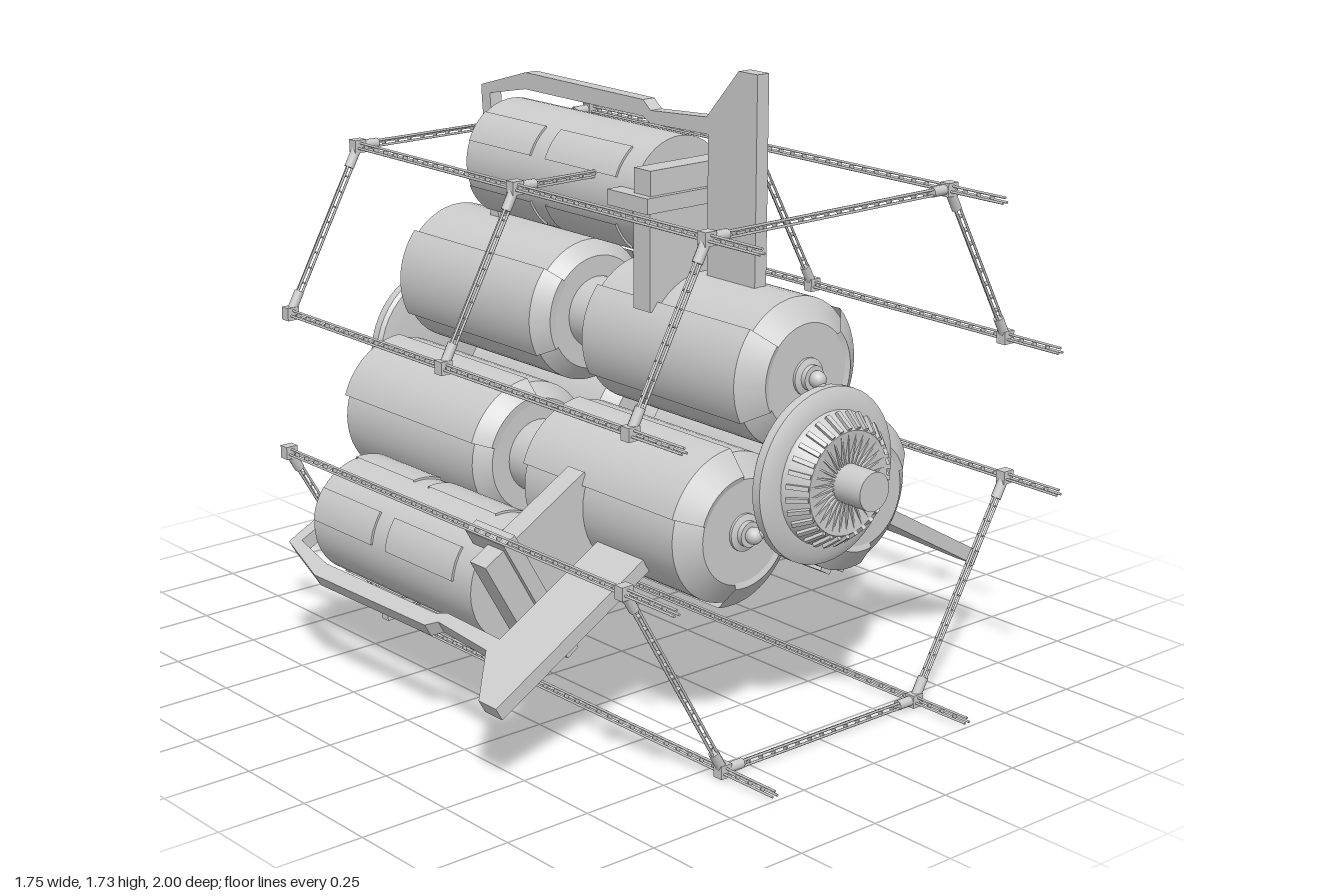
import * as THREE from 'three';
import { mergeGeometries, toCreasedNormals } from 'three/addons/utils/BufferGeometryUtils.js';

const AXIS_Y = 0.735;   // height of the long axis
const MID_Z = -0.027;   // middle of the tank cluster
const TANK_R = 0.247;   // tank offset from the axis
const POD_R = 0.63;     // pod offset from the axis
const mat = new THREE.MeshStandardMaterial({ color: 0xcccccc, side: THREE.DoubleSide });
const V = (x, y, z) => new THREE.Vector3(x, y, z);

function add(parent, name, geo, x = 0, y = 0, z = 0) {
  const m = new THREE.Mesh(geo, mat);
  m.name = name;
  m.position.set(x, y, z);
  parent.add(m);
  return m;
}

// Turned shape along z from [radius, z] pairs with z rising; angles are measured from straight up
function turned(pts, segs = 48, start = 0, length = Math.PI * 2) {
  const g = new THREE.LatheGeometry(pts.map(p => new THREE.Vector2(p[0], p[1])), segs, Math.PI + start, length);
  return toCreasedNormals(g.rotateX(Math.PI / 2), 0.45);
}

const box = (w, h, d) => new THREE.BoxGeometry(w, h, d);
const rod = (r, len, segs = 24) => new THREE.CylinderGeometry(r, r, len, segs).rotateX(Math.PI / 2);
const deg = THREE.MathUtils.degToRad;

// One end: three main tanks, feed pipes and the docking dome, facing +z
function buildEnd(portEnd) {
  const end = new THREE.Group();
  end.name = 'endSection';
  for (let i = 0; i < 3; i++) {
    const arm = new THREE.Group();
    arm.name = 'mainTankUnit';
    arm.rotation.z = i * Math.PI * 2 / 3;
    end.add(arm);
    add(arm, 'mainTank', turned([[0, 0.077], [0.16, 0.077], [0.2, 0.115], [0.2, 0.707], [0.14, 0.755], [0, 0.755]]), 0, TANK_R);
    // Raised side panels
    for (const s of [-1, 1]) {
      const panel = turned([[0.15, 0.075], [0.172, 0.073], [0.213, 0.113], [0.213, 0.71], [0.15, 0.76], [0.135, 0.755]],
        14, s > 0 ? deg(48) : deg(-118), deg(70));
      add(arm, 'tankPanel', panel, 0, TANK_R);
    }
    add(arm, 'tankNozzle', turned([[0.05, 0.75], [0.05, 0.762], [0.034, 0.768], [0.034, 0.782], [0, 0.782]], 20), 0, TANK_R);
    const path = new THREE.CatmullRomCurve3([V(0, TANK_R, 0.76), V(0, TANK_R, 0.79), V(0, 0.235, 0.803), V(0, 0.18, 0.81)]);
    add(arm, 'feedPipe', new THREE.TubeGeometry(path, 14, 0.014, 10));
    add(arm, 'feedJoint', new THREE.SphereGeometry(0.023, 14, 10), 0, TANK_R, 0.793);
  }
  add(end, 'dockingDome', turned([[0, 0.79], [0.18, 0.79], [0.225, 0.797], [0.235, 0.807], [0.235, 0.833],
    [0.21, 0.847], [0.178, 0.85], [0.172, 0.866], [0.138, 0.912], [0.06, 0.9], [0, 0.9]]));
  // Ribs around the cone and blades across its face
  const ribs = [], blades = [];
  for (let i = 0; i < 30; i++) {
    const a = i * Math.PI / 15;
    ribs.push(box(0.012, 0.012, 0.058).rotateX(0.64).translate(0, 0.159, 0.889).rotateZ(a));
    blades.push(box(0.005, 0.085, 0.01).translate(0, 0.093, 0.906).rotateZ(a));
  }
  add(end, 'domeRibs', mergeGeometries(ribs));
  add(end, 'domeBlades', mergeGeometries(blades));
  add(end, 'dockingPort', rod(0.052, portEnd - 0.85), 0, 0, (portEnd + 0.85) / 2);
  return end;
}

// Fin with its long arm and rear leg, drawn as (z, height) and pulled to thickness
function finGeometry() {
  const pts = [[0.55, 1.15], [0.55, 1.735], [0.48, 1.735], [0.36, 1.6], [0.14, 1.585], [0.11, 1.61], [-0.39, 1.615],
    [-0.59, 1.555], [-0.59, 1.52], [-0.553, 1.15], [-0.517, 1.15], [-0.552, 1.535], [-0.39, 1.568],
    [0.11, 1.565], [0.14, 1.55], [0.367, 1.555], [0.367, 1.15]];
  const shape = new THREE.Shape(pts.map(p => new THREE.Vector2(p[0], p[1] - AXIS_Y)));
  return new THREE.ExtrudeGeometry(shape, { depth: 0.04, bevelEnabled: false }).rotateY(-Math.PI / 2).translate(0.02, 0, 0);
}

// Outer pod with panels, bracket and fin, pointing up
function buildPod() {
  const pod = new THREE.Group();
  pod.name = 'outerPod';
  add(pod, 'podTank', turned([[0, -0.51], [0.125, -0.51], [0.165, -0.475], [0.165, 0.235], [0, 0.235]]), 0, POD_R);
  for (const a of [52, 128, 232, 308]) {
    for (const [z0, z1] of [[-0.135, 0.16], [-0.47, -0.2]]) {
      const strip = turned([[0.16, z0], [0.171, z0], [0.171, z1], [0.16, z1]], 6, deg(a - 16), deg(32));
      add(pod, 'podPanel', strip, 0, POD_R);
    }
  }
  add(pod, 'bracketPlate', box(0.37, 0.375, 0.065), 0, 1.2875 - AXIS_Y, 0.2975);
  add(pod, 'bracketBar', box(0.415, 0.042, 0.16), 0, 1.387 - AXIS_Y, 0.265);
  add(pod, 'fin', finGeometry());
  return pod;
}

// Lattice member: three thin strands with ties, and sockets at the ends if wanted
function truss(parent, name, a, b, sockets) {
  const len = a.distanceTo(b), parts = [];
  for (let i = 0; i < 3; i++) {
    const t = i * Math.PI * 2 / 3 + 0.5;
    parts.push(new THREE.CylinderGeometry(0.0035, 0.0035, len, 6).translate(0.009 * Math.cos(t), 0, 0.009 * Math.sin(t)));
  }
  const ties = Math.round(len / 0.045);
  for (let i = 1; i < ties; i++) {
    parts.push(new THREE.CylinderGeometry(0.009, 0.009, 0.004, 6).translate(0, (i / ties - 0.5) * len, 0));
  }
  if (sockets) {
    for (const s of [-1, 1]) {
      parts.push(new THREE.CylinderGeometry(0.014, 0.014, 0.06, 10).translate(0, s * (len / 2 - 0.035), 0));
    }
  }
  const m = add(parent, name, mergeGeometries(parts));
  m.position.copy(a).lerp(b, 0.5);
  m.quaternion.setFromUnitVectors(V(0, 1, 0), b.clone().sub(a).normalize());
}

// Open cage half: long rods at the corners, cross frames at the given depths
function buildCage(name, half, frames) {
  const cage = new THREE.Group();
  cage.name = name;
  const corners = [...half, ...half.map(([x, y]) => [-x, y]).reverse()];
  for (const [x, y] of corners) truss(cage, 'longRod', V(x, y, -0.64), V(x, y, 1), false);
  for (const z of frames) {
    corners.forEach(([x, y], i) => {
      add(cage, 'cageJoint', box(0.036, 0.036, 0.03), x, y, z);
      if (i < 3) truss(cage, 'crossRod', V(x, y, z), V(corners[i + 1][0], corners[i + 1][1], z), true);
    });
  }
  return cage;
}

export function createModel() {
  const model = new THREE.Group();
  model.name = 'spaceStation';

  const core = new THREE.Group();
  core.name = 'core';
  core.position.set(0, AXIS_Y, MID_Z);
  const rear = buildEnd(0.973);
  rear.rotation.y = Math.PI;
  core.add(buildEnd(1.003), rear);
  model.add(core);

  for (let i = 0; i < 3; i++) {
    const a = i * Math.PI * 2 / 3;
    // Connector between front and rear tanks
    add(core, 'tankConnector', rod(0.102, 0.2, 32), -TANK_R * Math.sin(a), TANK_R * Math.cos(a), 0);
    const pod = buildPod();
    pod.position.y = AXIS_Y;
    pod.rotation.z = a;
    model.add(pod);
  }

  model.add(buildCage('upperCage', [[-0.66, 0.985], [-0.42, 1.423]], [-0.635, 0.068, 0.807]));
  model.add(buildCage('lowerCage', [[-0.68, 0.588], [-0.35, 0.024]], [-0.635, 0.807]));
  return model;
}
